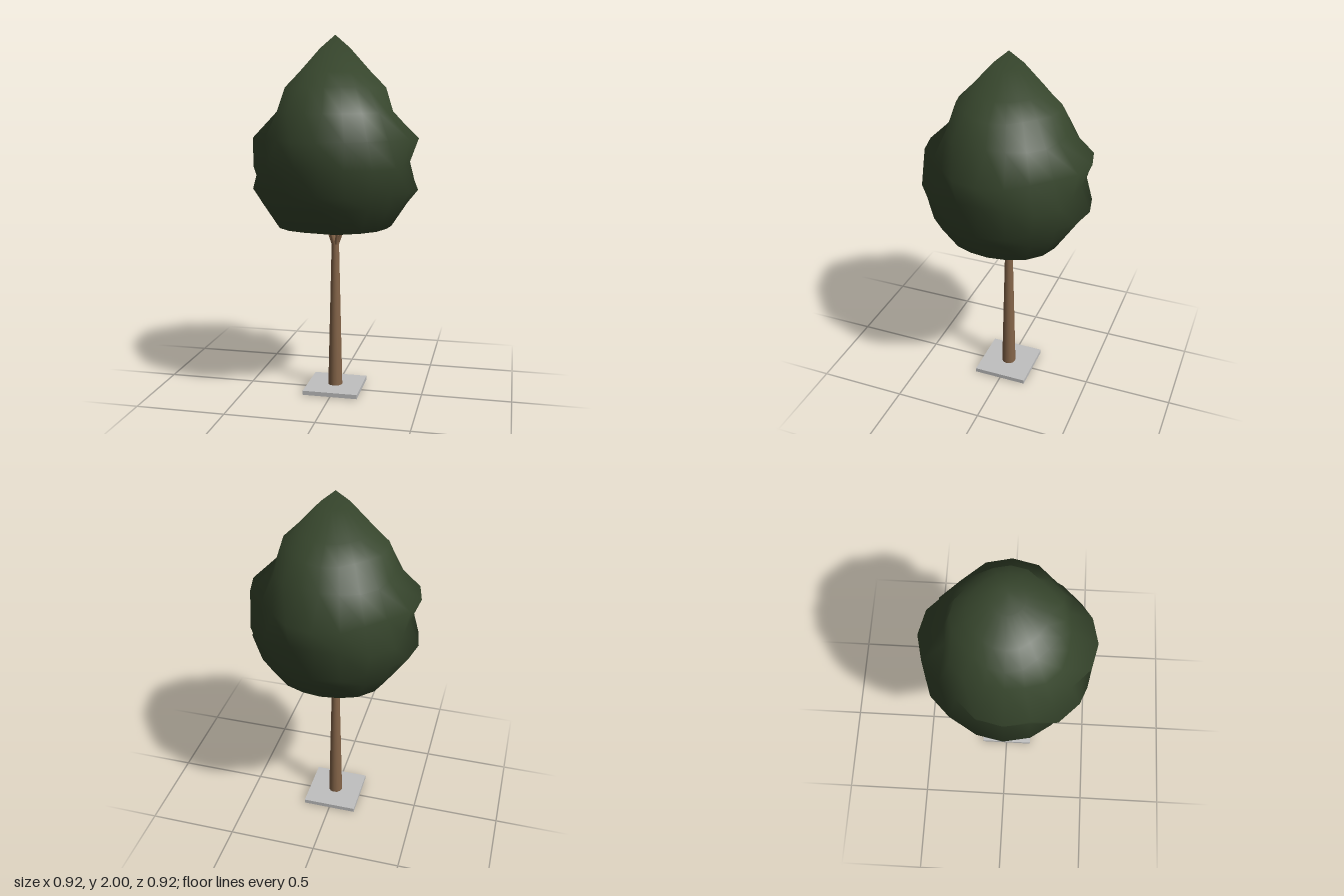
import * as THREE from 'three';

// Crown rows: height, radius along the x/z axes, radius along the diagonals
const ROWS = [
  [0.90, 0, 0], [0.965, 0.316, 0.33], [1.10, 0.405, 0.42], [1.17, 0.461, 0.43],
  [1.31, 0.405, 0.474], [1.45, 0.461, 0.41], [1.59, 0.315, 0.34],
  [1.72, 0.28, 0.255], [1.80, 0.20, 0.19], [1.93, 0.082, 0.08], [2.00, 0, 0],
];
// Share of the diagonal radius at each 18 degree step of a quarter turn
const BLEND = [0, 0.2, 1, 1, 0.2];
const SIDES = 20;

// Lumpy crown with normals spreading from its middle, for soft foliage shading
function crownGeometry() {
  const pos = [], nor = [], idx = [];
  const n = new THREE.Vector3();
  for (const [y, axis, diagonal] of ROWS) {
    for (let i = 0; i < SIDES; i++) {
      const a = (i / SIDES) * Math.PI * 2;
      const r = THREE.MathUtils.lerp(axis, diagonal, BLEND[i % 5]);
      const x = Math.cos(a) * r, z = Math.sin(a) * r;
      pos.push(x, y, z);
      n.set(x, (y - 1.36) * 0.9, z).normalize();
      nor.push(n.x, n.y, n.z);
    }
  }
  for (let j = 0; j < ROWS.length - 1; j++) {
    for (let i = 0; i < SIDES; i++) {
      const k = (i + 1) % SIDES;
      const a = j * SIDES + i, b = j * SIDES + k;
      const c = a + SIDES, d = b + SIDES;
      if (j < ROWS.length - 2) idx.push(a, c, d);
      else idx.push(a, c, b);
      if (j > 0 && j < ROWS.length - 2) idx.push(a, d, b);
    }
  }
  const g = new THREE.BufferGeometry();
  g.setAttribute('position', new THREE.Float32BufferAttribute(pos, 3));
  g.setAttribute('normal', new THREE.Float32BufferAttribute(nor, 3));
  g.setIndex(idx);
  return g;
}

function material(name, color) {
  const m = new THREE.MeshStandardMaterial({ color });
  m.name = name;
  return m;
}

export function createModel() {
  const tree = new THREE.Group();
  tree.name = 'tree';
  const leaf = material('leaf green', 0x36452c);
  const bark = material('bark brown', 0x856549);
  const stone = material('stone grey', 0xc0c0c0);

  const add = (name, geometry, mat, y = 0) => {
    const mesh = new THREE.Mesh(geometry, mat);
    mesh.name = name;
    mesh.position.y = y;
    tree.add(mesh);
    return mesh;
  };

  // Square base slab
  add('baseSlab', new THREE.BoxGeometry(0.31, 0.024, 0.31), stone, 0.016);

  // Tapered trunk, reaching just under the slab
  add('trunk', new THREE.CylinderGeometry(0.021, 0.042, 0.87, 12), bark, 0.435);

  // Short branches fanning out into the crown
  for (let i = 0; i < 6; i++) {
    const a = (i / 6) * Math.PI * 2;
    const branch = add('branch', new THREE.CylinderGeometry(0.007, 0.011, 0.1, 6), bark);
    const dir = new THREE.Vector3(Math.cos(a) * 0.38, 1, Math.sin(a) * 0.38).normalize();
    branch.quaternion.setFromUnitVectors(new THREE.Vector3(0, 1, 0), dir);
    branch.position.set(Math.cos(a) * 0.028, 0.895, Math.sin(a) * 0.028);
  }

  // Foliage
  add('crown', crownGeometry(), leaf);
  return tree;
}
